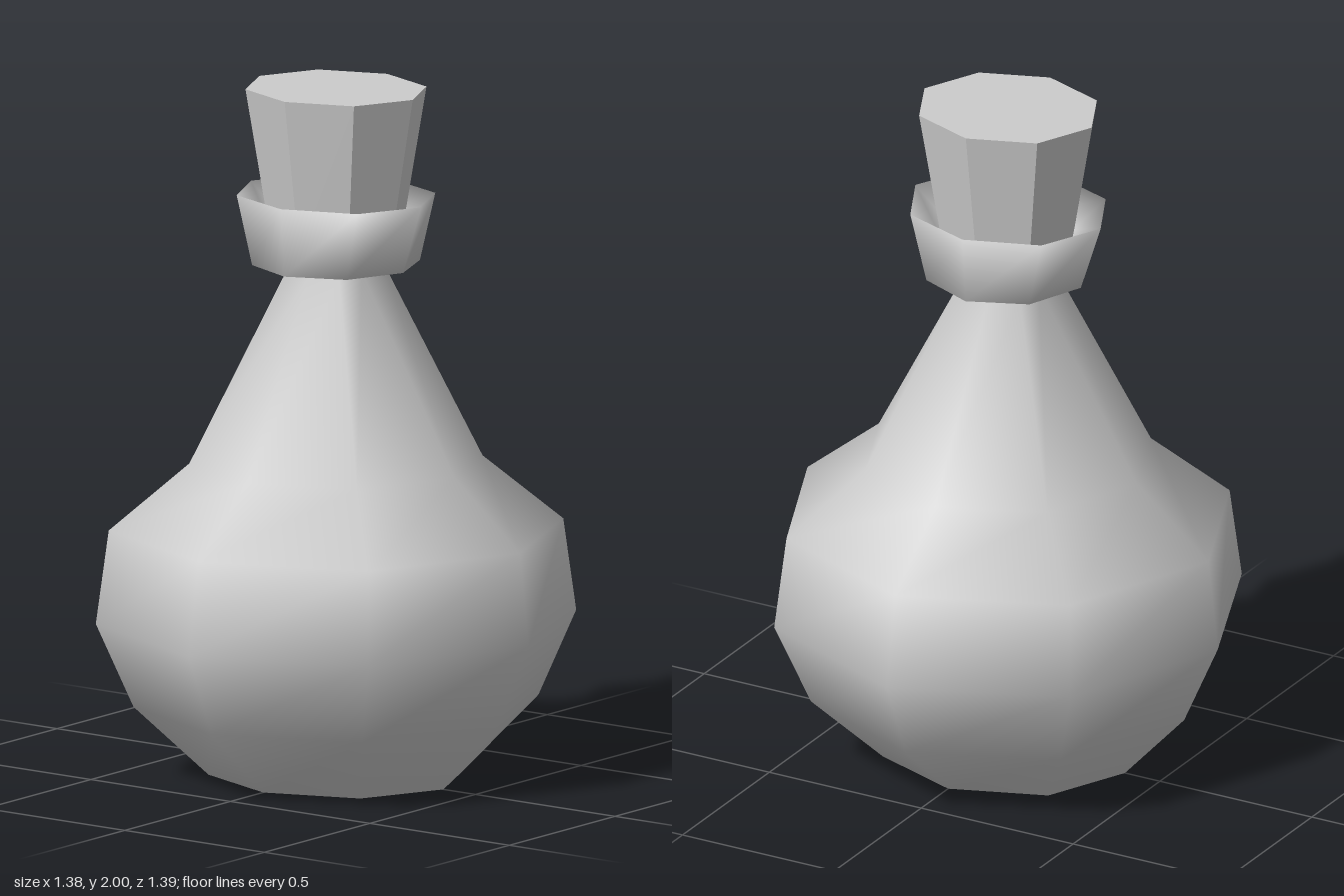
import * as THREE from 'three';

const SIDES = 8;

// Eight-sided elliptical ring: x radius, z radius, height
function ring(rx, rz, y) {
  return Array.from({ length: SIDES }, (_, i) => {
    const a = (i / SIDES) * Math.PI * 2;
    return [rx * Math.cos(a), y, rz * Math.sin(a)];
  });
}

// Skin a list of rings, outward facing when listed bottom to top
function loft(name, rings, flat) {
  const index = [];
  for (let r = 0; r < rings.length - 1; r++) {
    for (let i = 0; i < SIDES; i++) {
      const j = (i + 1) % SIDES;
      const a = r * SIDES + i, b = r * SIDES + j;
      index.push(a, a + SIDES, b, b, a + SIDES, b + SIDES);
    }
  }
  let geo = new THREE.BufferGeometry();
  geo.setAttribute('position', new THREE.Float32BufferAttribute(rings.flat(2), 3));
  geo.setIndex(index);
  if (flat) geo = geo.toNonIndexed();
  geo.computeVertexNormals();
  const mat = new THREE.MeshStandardMaterial({ color: 0xcccccc, flatShading: flat });
  if (!flat) mat.side = THREE.DoubleSide;
  const mesh = new THREE.Mesh(geo, mat);
  mesh.name = name;
  return mesh;
}

export function createModel() {
  const group = new THREE.Group();
  group.name = 'potionBottle';

  // Neck top is squeezed along one diagonal, with half-turn symmetry
  const half = [[0.13, 0.05], [0.125, 0.15], [0.04, 0.18], [-0.09, 0.1]];
  const neckTop = [...half, ...half.map(([x, z]) => [-x, -z])].map(([x, z]) => [x, 1.49, z]);

  // Round belly, shoulder and tapering neck
  group.add(loft('body', [
    ring(0.385, 0.345, 0),
    ring(0.58, 0.59, 0.21),
    ring(0.69, 0.697, 0.455),
    ring(0.66, 0.65, 0.725),
    ring(0.425, 0.42, 0.915),
    neckTop,
  ], false));

  // Flat underside
  group.add(loft('base', [ring(0, 0, 0), ring(0.385, 0.345, 0)], true));

  // Flared lip, hollow around the stopper
  group.add(loft('lip', [
    neckTop,
    ring(0.24, 0.245, 1.49),
    ring(0.305, 0.262, 1.69),
    ring(0.2, 0.18, 1.6),
  ], false));

  // Tapered cork stopper
  group.add(loft('cork', [
    ring(0, 0, 1.55),
    ring(0.195, 0.175, 1.55),
    ring(0.275, 0.243, 2),
    ring(0, 0, 2),
  ], true));

  return group;
}
